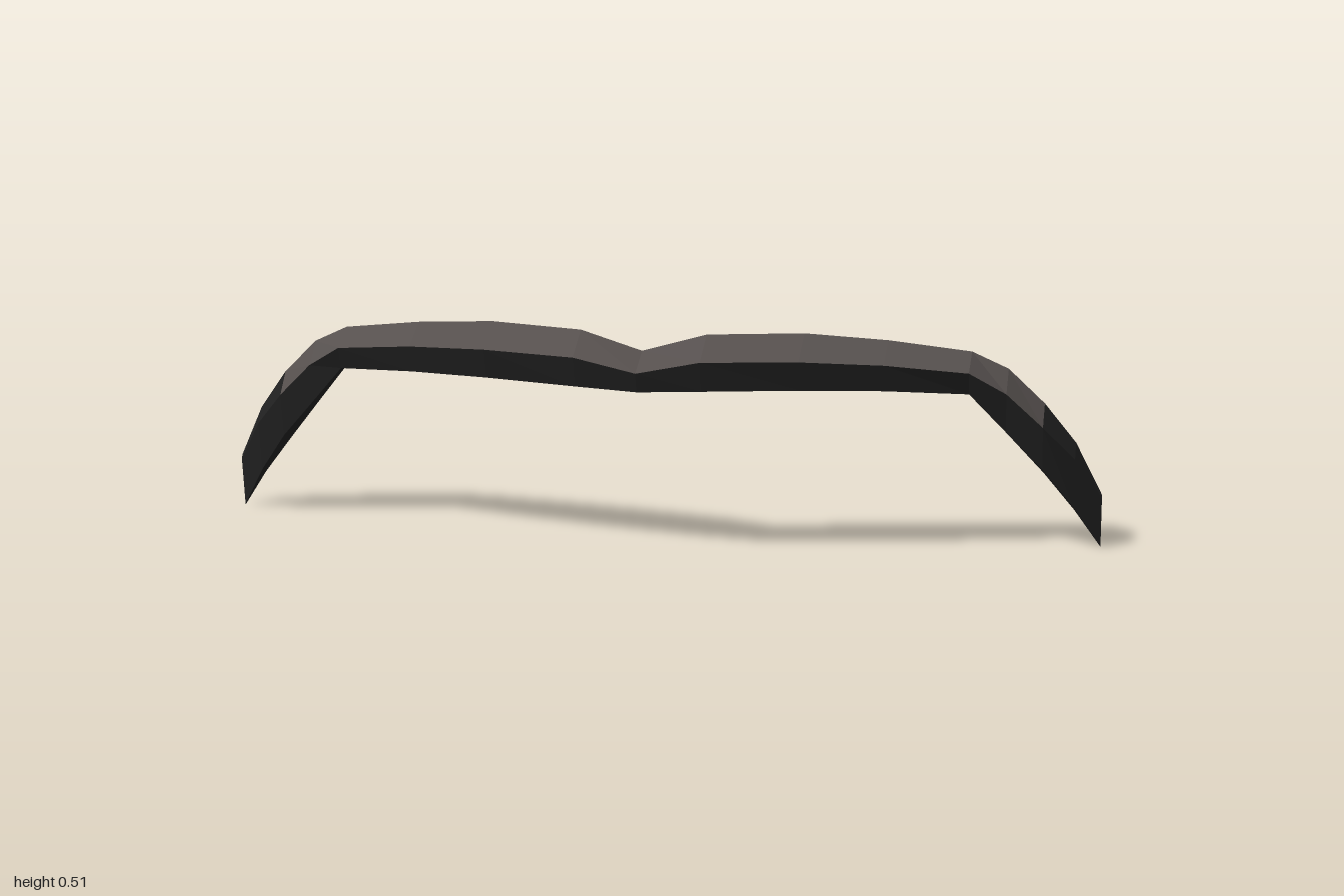
import * as THREE from 'three';

// Cross-sections of the left half, centre to tip:
// x, then [z, y] of back top, front top, front bottom and back bottom
const half = [
  [0.00, [0.09, 0.47], [0.172, 0.437], [0.157, 0.392], [0.093, 0.379]],
  [0.14, [0.072, 0.508], [0.163, 0.465], [0.143, 0.396], [0.062, 0.379]],
  [0.35, [0.03, 0.51], [0.125, 0.466], [0.103, 0.398], [0.016, 0.379]],
  [0.53, [-0.01, 0.493], [0.076, 0.455], [0.058, 0.394], [-0.023, 0.379]],
  [0.71, [-0.055, 0.465], [0.02, 0.432], [0.0, 0.381], [-0.063, 0.379]],
  [0.79, [-0.075, 0.425], [-0.018, 0.38], [-0.036, 0.29], [-0.092, 0.28]],
  [0.87, [-0.096, 0.345], [-0.05, 0.30], [-0.071, 0.20], [-0.122, 0.18]],
  [0.94, [-0.13, 0.25], [-0.1, 0.218], [-0.12, 0.103], [-0.147, 0.09]],
  [1.00, [-0.158, 0.125], [-0.153, 0.115], [-0.17, 0.002], [-0.172, 0]],
];

// Full run of rings from the right tip to the left tip
const ring = ([x, ...pts], side) => pts.map(([z, y]) => [x * side, y, z]);
const rings = [
  ...half.slice(1).reverse().map((s) => ring(s, -1)),
  ...half.map((s) => ring(s, 1)),
];

function facetMesh(name, quads, material) {
  const pos = quads.flatMap(([a, b, c, d]) => [a, b, c, a, c, d].flat());
  const geo = new THREE.BufferGeometry();
  geo.setAttribute('position', new THREE.Float32BufferAttribute(pos, 3));
  geo.computeVertexNormals();
  const mesh = new THREE.Mesh(geo, material);
  mesh.name = name;
  return mesh;
}

export function createModel() {
  const darkHair = new THREE.MeshStandardMaterial({ color: 0x212121 });
  darkHair.name = 'dark hair';
  const lightHair = new THREE.MeshStandardMaterial({ color: 0x56504e });
  lightHair.name = 'light hair';

  const top = [], body = [];
  for (let i = 0; i < rings.length - 1; i++) {
    const r = rings[i], s = rings[i + 1];
    for (let k = 0; k < 4; k++) {
      const n = (k + 1) % 4;
      // Only the upper facets up to the drooping ends are light
      const light = k === 0 && Math.abs(r[0][0] + s[0][0]) / 2 < 0.87;
      (light ? top : body).push([r[k], r[n], s[n], s[k]]);
    }
  }
  // Narrow caps at both tips
  body.push([...rings[0]].reverse(), rings[rings.length - 1]);

  const group = new THREE.Group();
  group.name = 'moustache';
  group.add(
    facetMesh('moustacheBody', body, darkHair),
    facetMesh('moustacheTop', top, lightHair),
  );
  return group;
}
